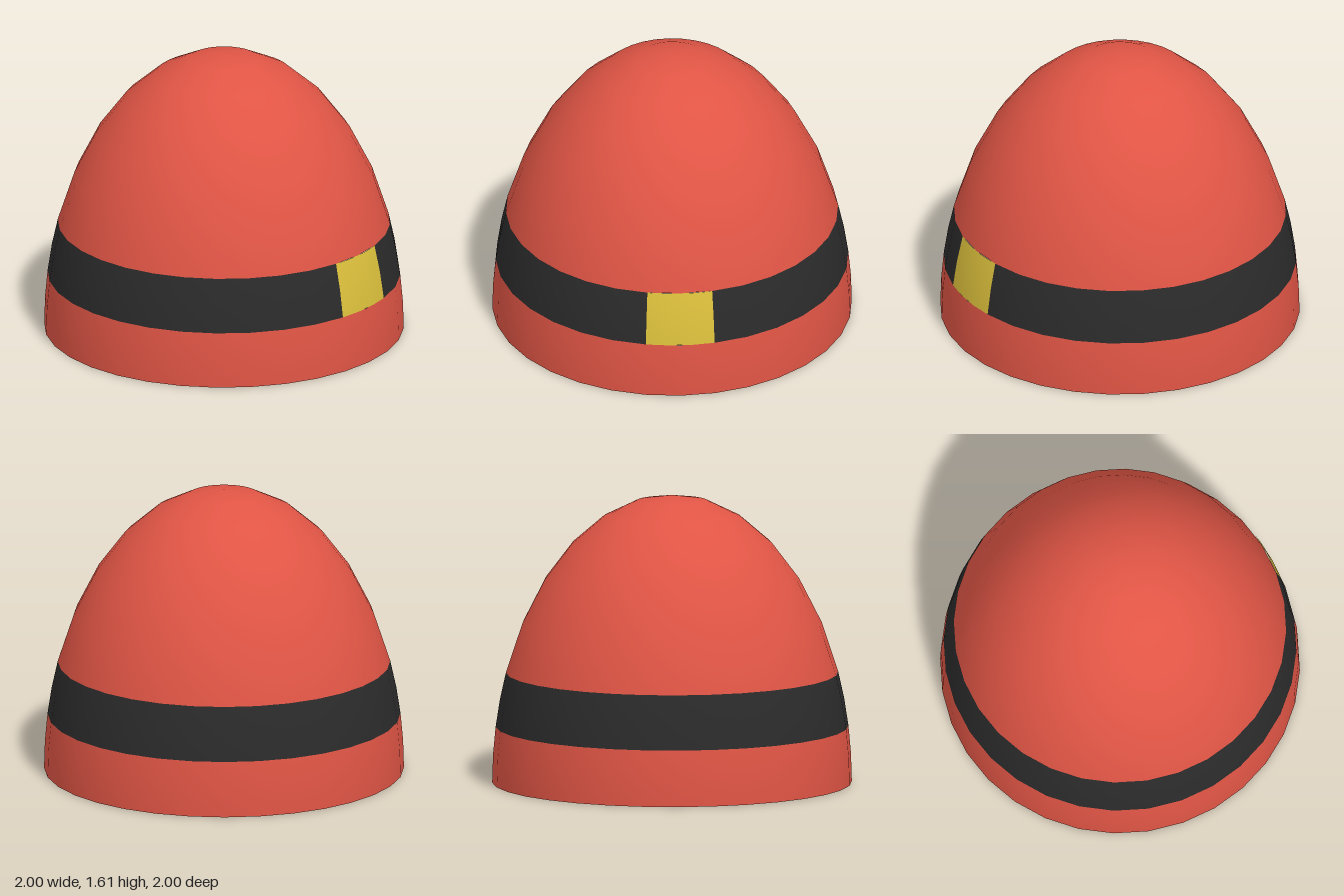
import * as THREE from 'three';

const SEGMENTS = 32;
const HEIGHT = 1.61;
const STEP = Math.PI / 16; // angle of one ring of the dome
const FRONT = Math.PI / 2; // angle of +z around the dome

const red = new THREE.MeshStandardMaterial({ color: 0xe05545 });
const black = new THREE.MeshStandardMaterial({ color: 0x2b2b2b });
const yellow = new THREE.MeshStandardMaterial({ color: 0xdcc03c });

// A patch of the stretched dome, counted in rings down from the tip
function domePatch(name, material, firstRing, rings, start = 0, sweep = Math.PI * 2) {
  const columns = Math.round((sweep / (Math.PI * 2)) * SEGMENTS);
  const geometry = new THREE.SphereGeometry(1, columns, rings, start, sweep, firstRing * STEP, rings * STEP);
  geometry.scale(1, HEIGHT, 1);
  const mesh = new THREE.Mesh(geometry, material);
  mesh.name = name;
  return mesh;
}

export function createModel() {
  const hat = new THREE.Group();
  hat.name = 'hat';

  // Crown, band with a gap for the buckle, and lower rim
  hat.add(domePatch('crown', red, 0, 6));
  hat.add(domePatch('band', black, 6, 1, FRONT + STEP, Math.PI * 2 - 2 * STEP));
  hat.add(domePatch('buckle', yellow, 6, 1, FRONT - STEP, 2 * STEP));
  hat.add(domePatch('rim', red, 7, 1));

  // Closed underside
  const base = new THREE.Mesh(new THREE.CircleGeometry(1, SEGMENTS).rotateX(Math.PI / 2), red);
  base.name = 'base';
  hat.add(base);

  return hat;
}
